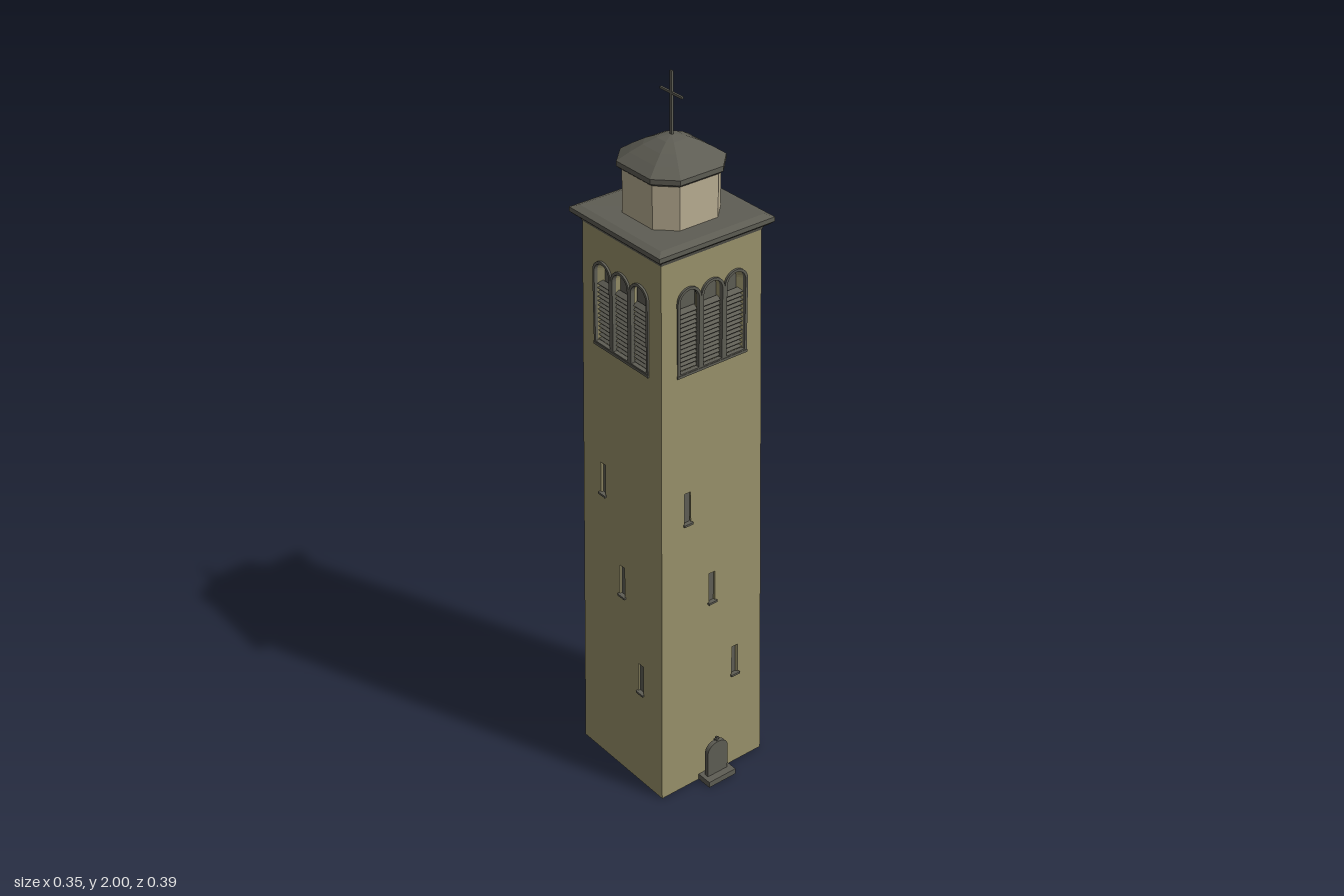
import * as THREE from 'three';

const stone = new THREE.MeshStandardMaterial({ color: 0x98916a, flatShading: true });
stone.name = 'wall stone';
const pale = new THREE.MeshStandardMaterial({ color: 0xb8ad92, flatShading: true });
pale.name = 'pale lantern stone';
const slate = new THREE.MeshStandardMaterial({ color: 0x5e5d54, flatShading: true });
slate.name = 'slate grey';

const WALL_H = 1.61, BASE = 0.173, TOP = 0.153, THICK = 0.02;
const halfAt = y => BASE + (TOP - BASE) * y / WALL_H;

function add(parent, name, geometry, material, x = 0, y = 0, z = 0) {
  const mesh = new THREE.Mesh(geometry, material);
  mesh.name = name;
  mesh.position.set(x, y, z);
  parent.add(mesh);
  return mesh;
}
const box = (w, h, d) => new THREE.BoxGeometry(w, h, d);

// Round-headed outline: centre x, half width, bottom, and spring line
function arch(Type, x, r, y0, spring) {
  const p = new Type();
  p.moveTo(x - r, y0);
  p.lineTo(x + r, y0);
  p.lineTo(x + r, spring);
  p.absarc(x, spring, r, 0, Math.PI, false);
  p.lineTo(x - r, y0);
  return p;
}
const extrude = (shape, depth) =>
  new THREE.ExtrudeGeometry(shape, { depth, bevelEnabled: false, curveSegments: 8 });

// Stack of polygon rings [halfWidth, y]; cut = half length of a flat side / halfWidth (1 = square)
function ringStack(rings, cut) {
  const corners = cut === 1
    ? [[1, 1], [1, -1], [-1, -1], [-1, 1]]
    : [[cut, 1], [1, cut], [1, -cut], [cut, -1], [-cut, -1], [-1, -cut], [-1, cut], [-cut, 1]];
  const n = corners.length, pos = [];
  const pt = (i, j) => [corners[j % n][0] * rings[i][0], rings[i][1], corners[j % n][1] * rings[i][0]];
  for (let i = 0; i < rings.length - 1; i++) {
    for (let j = 0; j < n; j++) {
      const a = pt(i, j), b = pt(i, j + 1), c = pt(i + 1, j + 1), d = pt(i + 1, j);
      pos.push(...a, ...b, ...c, ...a, ...c, ...d);
    }
  }
  const g = new THREE.BufferGeometry();
  g.setAttribute('position', new THREE.Float32BufferAttribute(pos, 3));
  g.computeVertexNormals();
  return g;
}

const BAYS = [-0.072, 0, 0.072], SILL = 1.29, SPRING = 1.488, R = 0.036;
const SLITS = [[-0.079, 0.85], [0, 0.573], [0.079, 0.3]], SLIT_W = 0.02, SLIT_H = 0.095;

// One tapered wall with belfry openings and optional slits, mitred at the corners
function wallGeometry(slits) {
  const s = new THREE.Shape([
    new THREE.Vector2(-BASE, 0), new THREE.Vector2(BASE, 0),
    new THREE.Vector2(TOP, WALL_H), new THREE.Vector2(-TOP, WALL_H)]);
  for (const x of BAYS) s.holes.push(arch(THREE.Path, x, R - 0.004, SILL, SPRING));
  for (const [x, y] of slits) {
    const l = x - SLIT_W / 2, r = x + SLIT_W / 2, t = y + SLIT_H;
    s.holes.push(new THREE.Path([
      new THREE.Vector2(l, y), new THREE.Vector2(r, y), new THREE.Vector2(r, t), new THREE.Vector2(l, t)]));
  }
  const g = extrude(s, THICK), p = g.attributes.position;
  for (let i = 0; i < p.count; i++) {
    const hw = halfAt(p.getY(i)), z = hw - THICK + p.getZ(i);
    p.setXYZ(i, p.getX(i) * z / hw, p.getY(i), z);
  }
  g.computeVertexNormals();
  return g;
}

// Arched frames, louvres and back panel of one belfry window group
function belfryWindow() {
  const g = new THREE.Group();
  g.name = 'belfryWindow';
  for (const x of BAYS) {
    const ring = arch(THREE.Shape, x, R, SILL - 0.004, SPRING);
    ring.holes.push(arch(THREE.Path, x, R - 0.007, SILL + 0.005, SPRING));
    add(g, 'archFrame', extrude(ring, 0.012), slate, 0, 0, 0.148);
    add(g, 'archPanel', extrude(arch(THREE.Shape, x, R - 0.002, SILL, SPRING), 0.003), slate, 0, 0, 0.132);
    for (let i = 0; i < 14; i++) {
      const slat = add(g, 'louvre', box(0.06, 0.003, 0.015), slate, x, 1.302 + i * 0.0118, 0.144);
      slat.rotation.x = 0.6;
    }
  }
  add(g, 'windowSill', box(0.218, 0.007, 0.014), slate, 0, SILL - 0.002, 0.154);
  return g;
}

// Stepped slit windows: recessed panes with small sills
function slitWindows() {
  const g = new THREE.Group();
  g.name = 'slitWindows';
  for (const [x, y] of SLITS) {
    const z = halfAt(y + SLIT_H / 2);
    const pane = add(g, 'slitPane', box(SLIT_W + 0.002, SLIT_H + 0.002, 0.006), slate, x, y + SLIT_H / 2, z - 0.009);
    pane.rotation.x = -(BASE - TOP) / WALL_H;
    add(g, 'slitSill', box(0.028, 0.006, 0.016), slate, x, y + 0.002, z - 0.001);
  }
  return g;
}

export function createModel() {
  const model = new THREE.Group();
  model.name = 'bellTower';
  const tower = new THREE.Group();
  tower.name = 'tower';
  tower.position.z = -0.0215;
  model.add(tower);

  // Four sides; two of them carry slit windows
  const plainWall = wallGeometry([]), slitWall = wallGeometry(SLITS);
  for (let i = 0; i < 4; i++) {
    const hasSlits = i === 0 || i === 3;
    const side = new THREE.Group();
    side.name = 'towerSide';
    side.rotation.y = i * Math.PI / 2;
    add(side, 'wall', hasSlits ? slitWall : plainWall, stone);
    side.add(belfryWindow());
    if (hasSlits) side.add(slitWindows());
    tower.add(side);
  }

  // Cornice
  add(tower, 'cornice', ringStack([
    [0, 1.603], [0.154, 1.603], [0.158, 1.614], [0.167, 1.618], [0.1755, 1.626],
    [0.1755, 1.638], [0.157, 1.645], [0, 1.647]], 1), slate);

  // Eight-sided lantern and its domed roof
  const CUT = 0.56;
  add(tower, 'lantern', ringStack([[0.104, 1.64], [0.104, 1.768]], CUT), pale);
  add(tower, 'lanternRoof', ringStack([
    [0, 1.76], [0.106, 1.76], [0.115, 1.768], [0.115, 1.781], [0.088, 1.801],
    [0.06, 1.819], [0.03, 1.834], [0, 1.842]], CUT), slate);

  // Cross
  add(tower, 'crossPost', box(0.005, 0.17, 0.008), slate, 0, 1.915, 0);
  add(tower, 'crossBar', box(0.005, 0.006, 0.082), slate, 0, 1.945, 0);

  // Memorial stone at the foot of the front wall
  const memorial = new THREE.Group();
  memorial.name = 'memorial';
  model.add(memorial);
  add(memorial, 'plinth', box(0.092, 0.018, 0.05), slate, 0, 0.009, 0.172);
  const s = new THREE.Shape();
  s.moveTo(-0.034, 0.016);
  s.lineTo(0.034, 0.016);
  s.lineTo(0.034, 0.1);
  s.bezierCurveTo(0.032, 0.114, 0.018, 0.125, 0, 0.125);
  s.bezierCurveTo(-0.018, 0.125, -0.032, 0.114, -0.034, 0.1);
  add(memorial, 'memorialSlab', extrude(s, 0.013), slate, 0, 0, 0.1635);
  add(memorial, 'finialPost', box(0.005, 0.018, 0.005), slate, 0, 0.129, 0.17);
  add(memorial, 'finialBar', box(0.016, 0.004, 0.005), slate, 0, 0.132, 0.17);
  return model;
}
